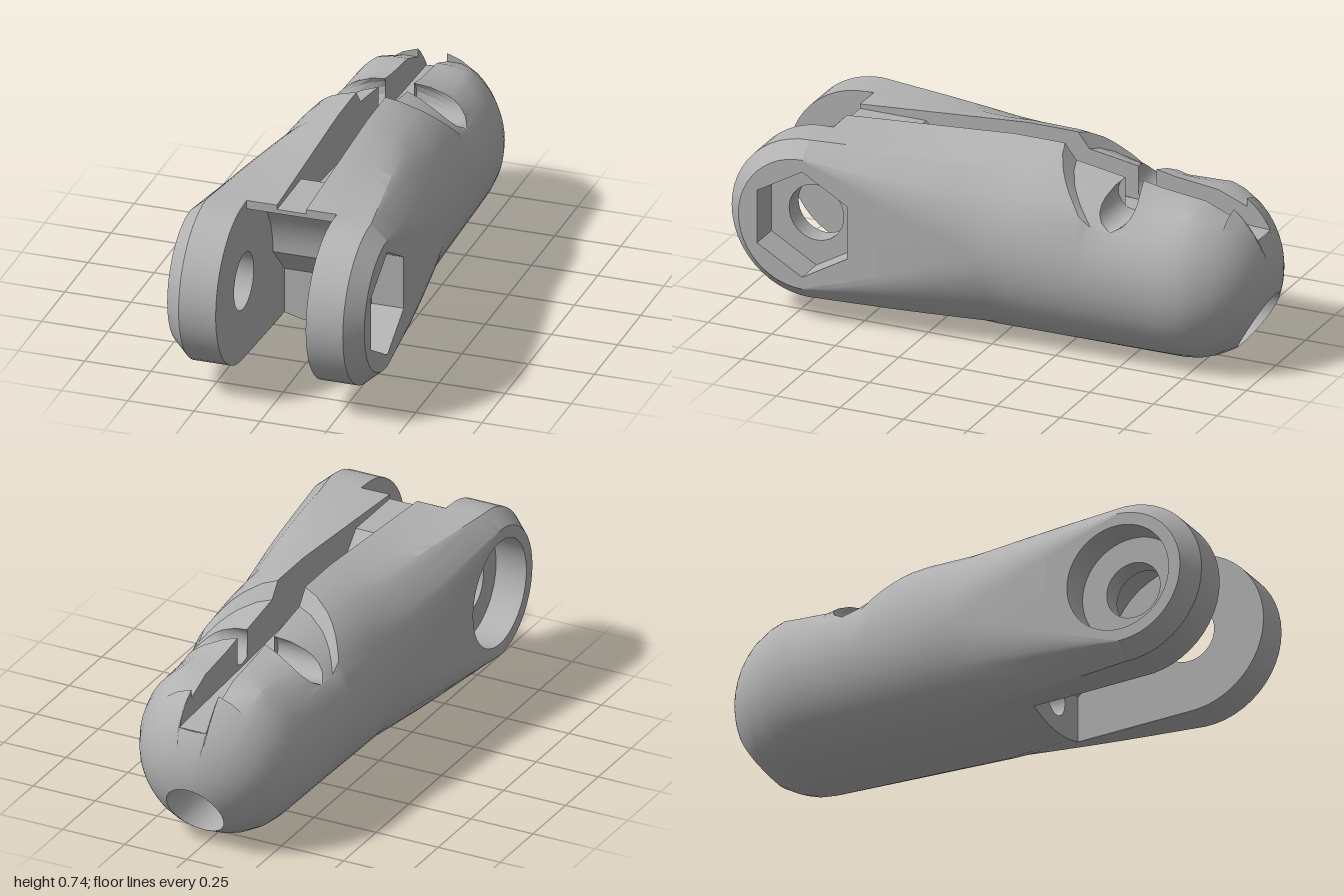
import * as THREE from 'three';
import { mergeGeometries, toCreasedNormals } from 'three/addons/utils/BufferGeometryUtils.js';

const { lerp, clamp } = THREE.MathUtils;
const V = (x, y, z) => new THREE.Vector3(x, y, z);
const lin = (v, a, b) => clamp((v - a) / (b - a), 0, 1);

// Surface through rows of points; side = -1 mirrors it in x
function grid(rows, side = 1) {
  const pos = [], idx = [], n = rows[0].length;
  rows.forEach((r) => r.forEach((p) => pos.push(p.x * side, p.y, p.z)));
  for (let i = 0; i < rows.length - 1; i++) {
    for (let j = 0; j < n - 1; j++) {
      const a = i * n + j, b = a + 1, c = a + n, d = c + 1;
      if (side > 0) idx.push(a, b, c, b, d, c);
      else idx.push(a, c, b, b, c, d);
    }
  }
  const g = new THREE.BufferGeometry();
  g.setAttribute('position', new THREE.Float32BufferAttribute(pos, 3));
  g.setIndex(idx);
  return g.toNonIndexed();
}
const bothSides = (rows) => [grid(rows), grid(rows, -1)];
const crease = (list) => toCreasedNormals(mergeGeometries(list), 0.5);

// Point of the body section at z; column = [upper/lower, fixed x, sweep to the side]
function skin(z, [up, x, s], cut = 0) {
  const q = z < -0.69 ? Math.sqrt(1 - ((z + 0.69) / 0.31) ** 2) : 1;
  const t = lin(z, 0.69, 0);
  const w = lerp(0.372, 0.315, lin(z, 0.4, -0.69)) * q;
  const yc = lerp(0.375, 0.33, lin(z, 0, -0.69));
  const top = q < 1 ? 0.33 + 0.34 * q : lerp(0.75, 0.67, lin(z, -0.19, -0.69));
  const bottom = q < 1 ? 0.33 - 0.325 * q : lerp(0.003, 0.005, t);
  const a0 = Math.asin(Math.min(1, x / w));
  const a = lerp(a0, Math.PI / 2, s), c = Math.cos(a);
  let y = yc + (up > 0 ? top - yc : bottom - yc) * c;
  if (up > 0 && cut) { // lowered rear top
    const low = z > -0.75 ? 0.69 + 0.14 * (z + 0.25) : 0.62 + 0.41 * (z + 0.75);
    const scaled = yc + (low - yc) * c;
    y = lerp(y, lerp(scaled, Math.min(y, low), lin(z, -0.55, -0.75)), cut);
  }
  const ax = s === 0 ? x : s < 0.5 ? 0.31 : 0.372;
  const ay = 0.39 + up * (ax < 0.35 ? 0.305 : 0.25);
  return V(lerp(ax, w * Math.sin(a), t), lerp(ay, y, t), z);
}

// Row builders: plain section, curved step, cross groove
const plain = (z, cut) => (col) => skin(z, col, cut);
const step = (o) => (col) => {
  const x = skin(-0.3, col).x;
  const z = Math.max(-0.35, -0.5 + Math.sqrt(Math.max(0, 0.308 ** 2 - x * x)));
  return skin(z - o, col, o / 0.045);
};
const groove = (f) => (col) => {
  const p = skin(-0.47, col, 1);
  if (col[0] < 0 || p.y < 0.535) return p;
  const a0 = Math.asin(Math.min(0.94, (p.y - 0.6) / 0.065));
  const a = a0 + f * (-Math.PI - 2 * a0);
  return V(p.x, 0.6 + 0.065 * Math.sin(a), -0.47 + 0.065 * Math.cos(a));
};
const range = (n) => Array.from({ length: n + 1 }, (_, i) => i / n);
const ROWS = [
  ...[0.69, 0.66, 0.55, 0.4, 0.3, 0.25, 0.1, 0, -0.1, -0.17].map((z) => plain(z, 0)),
  ...[0, 0.02, 0.045].map(step),
  ...range(12).map(groove),
  ...[-0.58, -0.65, -0.69, -0.75, -0.8, -0.86].map((z) => plain(z, 1)),
  plain(-0.86, 0),
];
const TOP = [0.055, 0.11, 0.17].map((x) => [1, x, 0]);
const UPPER = range(10).map((s) => [1, 0.17, s]);
const LOWER = range(10).map((s) => [-1, 0.17, 1 - s]);
const BOTTOM = [0.17, 0.11, 0.055, 0].map((x) => [-1, x, 0]);
const loft = (cols, from) => ROWS.slice(from).map((r) => cols.map((c) => r(c)));

function domeZ(x, y) {
  const h = y > 0.33 ? 0.34 : 0.325;
  return -0.69 - 0.31 * Math.sqrt(Math.max(0, 1 - (x / 0.315) ** 2 - ((y - 0.33) / h) ** 2));
}

// Floor height of the top slot
const FLOOR = [[0.66, 0.68], [0.4, 0.68], [0.3, 0.58], [-0.4, 0.527], [-0.953, 0.5]];
function floorY(z) {
  let y = FLOOR[0][1];
  for (let i = 1; i < FLOOR.length; i++) {
    if (z <= FLOOR[i - 1][0]) y = lerp(FLOOR[i - 1][1], FLOOR[i][1], lin(z, FLOOR[i - 1][0], FLOOR[i][0]));
  }
  return y;
}

function poly(points, hole) {
  const s = new THREE.Shape(points.map(([x, y]) => new THREE.Vector2(x, y)));
  if (hole) s.holes.push(new THREE.Path(hole.map(([x, y]) => new THREE.Vector2(x, y))));
  return new THREE.ShapeGeometry(s);
}
const ring = (cx, cy, r, n) => Array.from({ length: n }, (_, i) => {
  const a = Math.PI / 2 + (i / n) * Math.PI * 2;
  return [cx + r * Math.cos(a), cy + r * Math.sin(a)];
});
const arc = (cx, cy, r, a, b, n) => range(n).map((f) => {
  const t = lerp(a, b, f);
  return [cx + r * Math.cos(t), cy + r * Math.sin(t)];
});

export function createModel() {
  const model = new THREE.Group();
  const grey = new THREE.MeshStandardMaterial({ color: 0xb2b2b2, side: THREE.DoubleSide });
  grey.name = 'plain grey';
  const add = (name, geo, parent = model) => {
    const m = new THREE.Mesh(geo, grey);
    m.name = name;
    parent.add(m);
    return m;
  };

  // Rear dome, stretched from the notched section to the bore rim
  const notch = [0.5, 0.54, 0.58].map((y) => V(0.055, y, domeZ(0.055, y)));
  const outline = [V(0, 0.5, domeZ(0, 0.5)), ...notch,
    ...[...TOP, ...UPPER, ...LOWER, ...BOTTOM].map((c) => skin(-0.86, c))];
  const start = Math.atan2(0.055, outline[4].y - 0.17);
  const rim = outline.map((p, i) => {
    const ang = Math.atan2(p.x, p.y - 0.17);
    const phi = i < 4 ? (Math.PI / 4) * (i / 4)
      : lerp(Math.PI / 4, Math.PI, lin(ang, start, Math.PI));
    const x = 0.11 * Math.sin(phi), y = 0.17 + 0.11 * Math.cos(phi);
    return V(x, y, domeZ(x, y));
  });
  const dome = range(10).map((f) => outline.map((p, i) => {
    const x = lerp(p.x, rim[i].x, f), y = lerp(p.y, rim[i].y, f);
    return V(x, y, domeZ(x, y));
  }));

  // Outer skin of the body
  add('body', crease([
    ...bothSides(loft(UPPER, 0)), ...bothSides(loft(LOWER, 0)),
    ...bothSides(loft(TOP, 1)), ...bothSides(loft(BOTTOM, 5)),
    ...bothSides(loft([UPPER[10], LOWER[0]], 3)), ...bothSides(dome),
  ]));

  // Top slot
  const edge = [...ROWS.slice(1).map((r) => r(TOP[0])), ...notch.slice().reverse()];
  add('slotWalls', crease(bothSides(edge.map((p) => [V(p.x, floorY(p.z), p.z), p]))));
  add('slotFloor', crease([grid(FLOOR.map(([z, y]) => [V(-0.055, y, z), V(0.055, y, z)]))]));

  // Stepped bore along the length
  add('boreMouth', crease(bothSides([rim, rim.map((p) => V(p.x, p.y, -0.6))])));
  add('boreShoulder', new THREE.RingGeometry(0.07, 0.11, 40)).position.set(0, 0.17, -0.6);
  const bore = add('bore', new THREE.CylinderGeometry(0.07, 0.07, 0.85, 40, 1, true));
  bore.rotation.x = Math.PI / 2;
  bore.position.set(0, 0.17, -0.175);

  // Back wall of the fork gap
  const hollow = arc(0.68, 0.36, 0.305, Math.PI, Math.PI / 2 + 0.066, 14);
  const wall = [[0.25, 0.235], ...hollow];
  add('gapWall', crease([grid(wall.map(([z, y]) => [V(0.17, y, z), V(-0.17, y, z)]))]));
  const yb = skin(0.25, BOTTOM[0]).y;
  const sill = [...BOTTOM.map((c) => skin(0.25, c)).map((p) => [p.x, p.y]),
    ...BOTTOM.slice(0, 3).reverse().map((c) => skin(0.25, c)).map((p) => [-p.x, p.y])];
  add('boreWall', poly([...sill, [-0.17, 0.235], [0.17, 0.235]], ring(0, 0.17, 0.07, 40))).position.z = 0.25;
  const lipY = skin(0.66, TOP[0]).y;
  add('gapLip', poly([[-0.17, 0.664], [0.17, 0.664], [0.17, lipY], [0.055, lipY], [0.055, 0.68],
    [-0.055, 0.68], [-0.055, lipY], [-0.17, lipY]])).position.z = 0.66;

  // Fork ears: six-sided recess on one, round recess on the other
  const H = Math.PI / 2;
  const round = ring(0.69, 0.39, 0.107, 40);
  for (const [name, side, n, r] of [['leftEar', 1, 6, 0.204], ['rightEar', -1, 48, 0.204]]) {
    const ear = new THREE.Group();
    ear.name = name;
    ear.scale.x = side;
    model.add(ear);
    const profile = [[0.305, 0.17], [0.305, 0.31], [0.25, 0.372]].map(([a, b]) => new THREE.Vector2(a, b));
    const nose = new THREE.LatheGeometry(profile, 24, -H, Math.PI);
    nose.rotateZ(-H).translate(0, 0.39, 0.69);
    add('earRim', toCreasedNormals(nose, 0.5), ear);

    const face = (label, geo, x) => {
      const m = add(label, geo, ear);
      m.rotation.y = -H;
      m.position.x = x;
    };
    const up = skin(0.4, UPPER[10]).y, down = skin(0.4, LOWER[0]).y;
    const recess = ring(0.69, 0.39, r, n);
    face('earOuterFace', poly([...arc(0.69, 0.39, 0.25, -H, H, 24), [0.4, up], [0.4, down]], recess), 0.372);
    face('recessFloor', poly(recess, round), 0.25);
    face('earInnerFace', poly([...arc(0.69, 0.39, 0.305, -H, H, 24), [0.66, lipY],
      ...hollow.slice().reverse(), [0.25, 0.235], [0.25, yb]], round), 0.17);

    const tube = (label, pts, a, b) => add(label, crease([
      grid([...pts, pts[0]].map(([z, y]) => [V(a, y, z), V(b, y, z)]))]), ear);
    tube('recessWall', recess, 0.25, 0.372);
    tube('pinHole', round, 0.17, 0.25);
  }
  return model;
}
